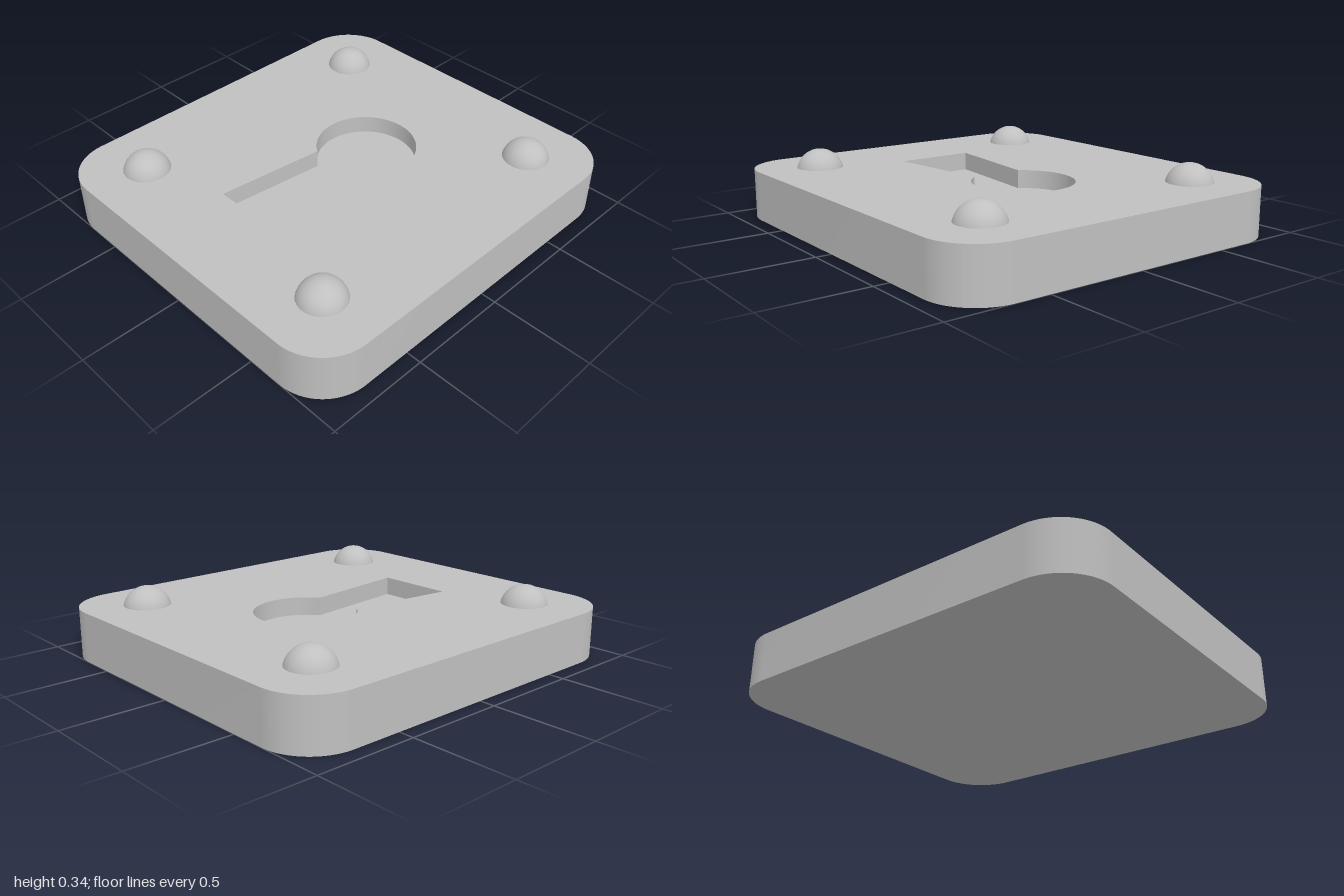
import * as THREE from 'three';
import { mergeGeometries, toCreasedNormals } from 'three/addons/utils/BufferGeometryUtils.js';

const W = 0.925, D = 1, CORNER = 0.25;   // half width, half depth, corner radius
const TOP = 0.247, FLOOR = 0.155;        // plate top and recess floor heights

// Rounded outline of the plate, counter-clockwise
function plateOutline() {
  const s = new THREE.Shape();
  const x = W - CORNER, y = D - CORNER, q = Math.PI / 2;
  [[x, y], [-x, y], [-x, -y], [x, -y]].forEach(([cx, cy], i) =>
    s.absarc(cx, cy, CORNER, i * q, (i + 1) * q, false));
  return s;
}

// Keyhole outline, clockwise so that its walls face inward
function keyholeOutline() {
  const s = new THREE.Shape();
  s.moveTo(-0.2, -0.56);
  s.lineTo(-0.135, -0.01);
  s.absarc(0, 0.2, 0.25, Math.atan2(-0.21, -0.135), Math.atan2(-0.21, 0.135), true);
  s.lineTo(0.2, -0.56);
  s.closePath();
  return s;
}

// Upright wall along an outline between two heights
function wall(points, low, high) {
  const pos = [];
  points.forEach((a, i) => {
    const b = points[(i + 1) % points.length];
    if (a.distanceTo(b) < 1e-5) return;
    pos.push(a.x, low, -a.y, b.x, low, -b.y, b.x, high, -b.y);
    pos.push(a.x, low, -a.y, b.x, high, -b.y, a.x, high, -a.y);
  });
  const g = new THREE.BufferGeometry();
  g.setAttribute('position', new THREE.Float32BufferAttribute(pos, 3));
  return toCreasedNormals(g, 0.5);
}

// Flat horizontal face at a height, facing up (1) or down (-1)
function face(shape, height, dir) {
  const g = new THREE.ShapeGeometry(shape, 24).toNonIndexed();
  g.deleteAttribute('uv');
  return g.rotateX(-dir * Math.PI / 2).translate(0, height, 0);
}

export function createModel() {
  const model = new THREE.Group();
  model.name = 'keyholePlate';
  const grey = new THREE.MeshStandardMaterial({ color: 0xc0c0c0 });
  grey.name = 'grey';

  const add = (name, geometry) => {
    const mesh = new THREE.Mesh(geometry, grey);
    mesh.name = name;
    model.add(mesh);
    return mesh;
  };

  // Plate with a keyhole opening in its top
  const outline = plateOutline(), keyhole = keyholeOutline();
  const pierced = plateOutline();
  pierced.holes.push(keyhole);
  add('plate', mergeGeometries([
    face(pierced, TOP, 1),
    face(outline, 0, -1),
    wall(outline.getPoints(24), 0, TOP),
  ]));

  // Blind keyhole recess
  add('keyholeRecess', mergeGeometries([
    face(keyhole, FLOOR, 1),
    wall(keyhole.getPoints(24), FLOOR, TOP),
  ]));

  // Domed rivets, one near each corner
  const r = 0.118, centre = 0.222;
  const dome = new THREE.SphereGeometry(r, 32, 16, 0, Math.PI * 2, 0,
    Math.acos((TOP - centre) / r) + 0.01);
  for (const [sx, side] of [[1, 'left'], [-1, 'right']]) {
    for (const [sz, end] of [[1, 'Front'], [-1, 'Back']]) {
      add(`${side}${end}Rivet`, dome).position.set(sx * 0.615, centre, sz * 0.695);
    }
  }
  return model;
}
